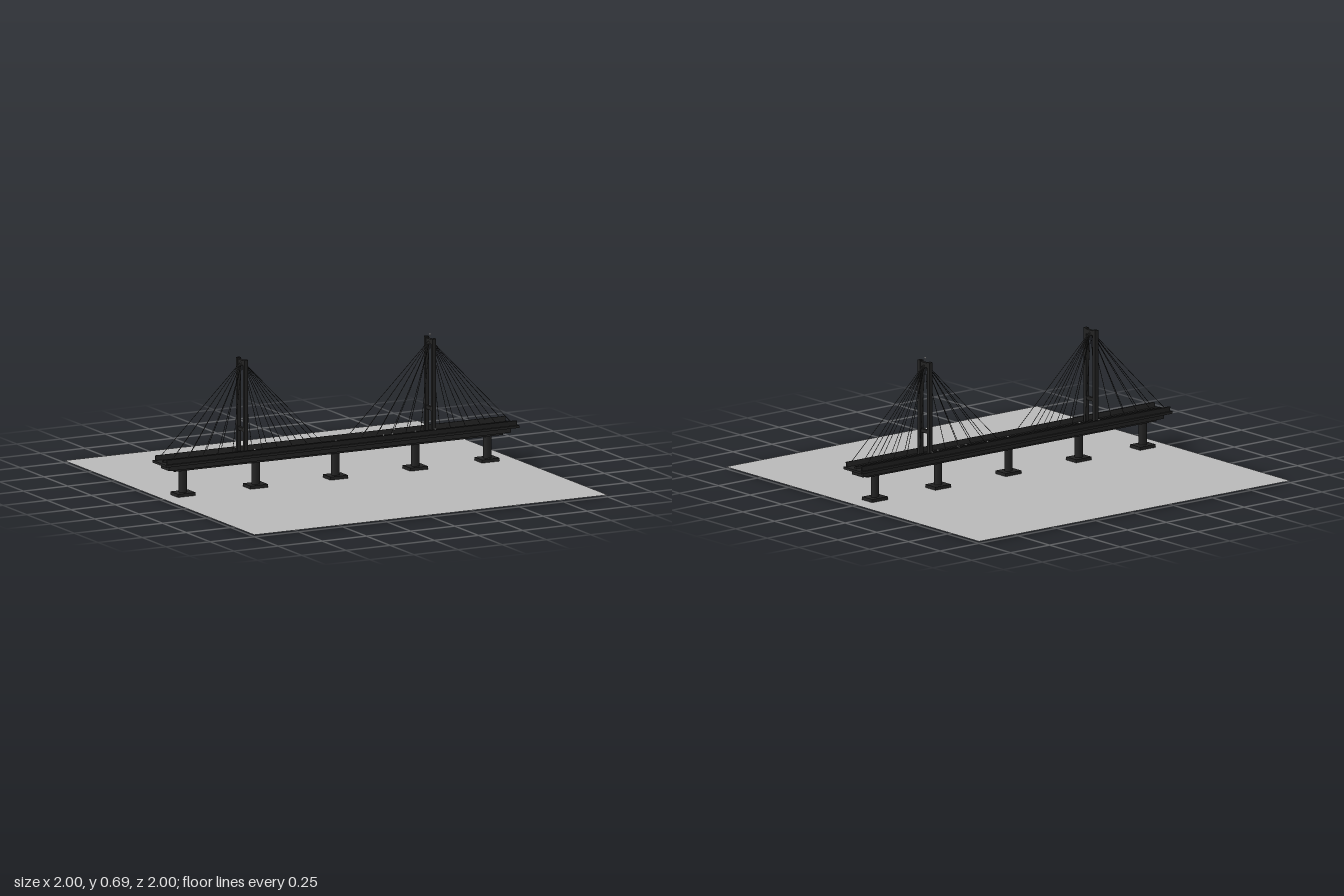
import * as THREE from 'three';

export function createModel() {
  const model = new THREE.Group();
  const steel = new THREE.MeshStandardMaterial({ color: 0x222222 });
  steel.name = 'dark steel';
  const ground = new THREE.MeshStandardMaterial({ color: 0xb8b8b8, side: THREE.DoubleSide });
  ground.name = 'ground grey';
  const glow = new THREE.MeshStandardMaterial({ color: 0xd8d8d8 });
  glow.name = 'lamp white';

  function add(parent, name, geometry, material, x, y, z) {
    const mesh = new THREE.Mesh(geometry, material);
    mesh.name = name;
    mesh.position.set(x, y, z);
    parent.add(mesh);
    return mesh;
  }
  // Box given by its centre in x and z and its bottom and top heights
  function box(parent, name, x, z, y0, y1, width, depth) {
    return add(parent, name, new THREE.BoxGeometry(width, y1 - y0, depth), steel, x, (y0 + y1) / 2, z);
  }
  function group(name) {
    const g = new THREE.Group();
    g.name = name;
    model.add(g);
    return g;
  }

  // Ground sheet, with the footings reaching slightly below it
  const sheet = add(model, 'ground', new THREE.PlaneGeometry(2, 2), ground, 0, 0.01, 0);
  sheet.rotation.x = -Math.PI / 2;

  // Stepped deck with parapets and a low median
  const deck = group('deck');
  box(deck, 'roadway', 0, 0, 0.176, 0.188, 2, 0.142);
  box(deck, 'upperGirder', 0, 0, 0.15, 0.176, 1.936, 0.086);
  box(deck, 'lowerGirder', 0, 0, 0.14, 0.15, 1.86, 0.06);
  box(deck, 'median', 0, 0, 0.188, 0.2, 1.96, 0.012);
  for (const side of [-1, 1]) {
    const parapet = box(deck, 'parapet', 0, side * 0.06, 0.186, 0.213, 1.98, 0.007);
    parapet.rotation.x = side * 0.15;
  }

  // Piers on rectangular footings
  const piers = group('piers');
  for (const x of [-0.866, -0.455, -0.003, 0.449, 0.855]) {
    box(piers, 'footing', x, 0, 0, 0.026, 0.1, 0.08);
    const column = add(piers, 'column', new THREE.CylinderGeometry(0.022, 0.022, 0.13, 20), steel, x, 0.085, 0);
    column.scale.z = 0.82;
  }

  // A thin stay between two points
  const up = new THREE.Vector3(0, 1, 0);
  function cable(parent, from, to) {
    const line = to.clone().sub(from);
    const middle = from.clone().lerp(to, 0.5);
    const stay = add(parent, 'stayCable', new THREE.CylinderGeometry(0.0015, 0.0015, line.length(), 6),
      steel, middle.x, middle.y, middle.z);
    stay.quaternion.setFromUnitVectors(up, line.normalize());
  }

  // Two portal towers, each with a fan of stays to both deck edges
  for (const x of [-0.532, 0.532]) {
    const tower = group('tower');
    for (const side of [-1, 1]) {
      box(tower, 'towerLeg', x, side * 0.037, 0.18, 0.672, 0.02, 0.02);
      for (const direction of [-1, 1]) {
        for (let i = 1; i <= 5; i++) {
          cable(tower, new THREE.Vector3(x, 0.662, 0),
            new THREE.Vector3(x + direction * i * 0.087, 0.2, side * 0.06));
        }
      }
    }
    box(tower, 'upperCrossbeam', x, 0, 0.642, 0.666, 0.016, 0.056);
    box(tower, 'lowerCrossbeam', x, 0, 0.304, 0.322, 0.016, 0.056);
  }

  // Small lamps scattered on the deck and on one tower
  const lamps = group('lamps');
  const spots = [[0, 0.2, 0], [-0.18, 0.19, 0.025], [-0.46, 0.2, 0], [0.18, 0.19, -0.03], [0.18, 0.212, -0.06],
    [0.27, 0.2, 0], [0.32, 0.2, 0], [0.36, 0.212, -0.055], [0.45, 0.2, 0], [0.66, 0.19, -0.03],
    [-0.54, 0.212, -0.055], [0.532, 0.212, -0.055], [0.532, 0.212, 0.055], [0.532, 0.688, 0]];
  const bulb = new THREE.SphereGeometry(0.005, 8, 6);
  for (const [x, y, z] of spots) add(lamps, 'lamp', bulb, glow, x, y, z);

  return model;
}
